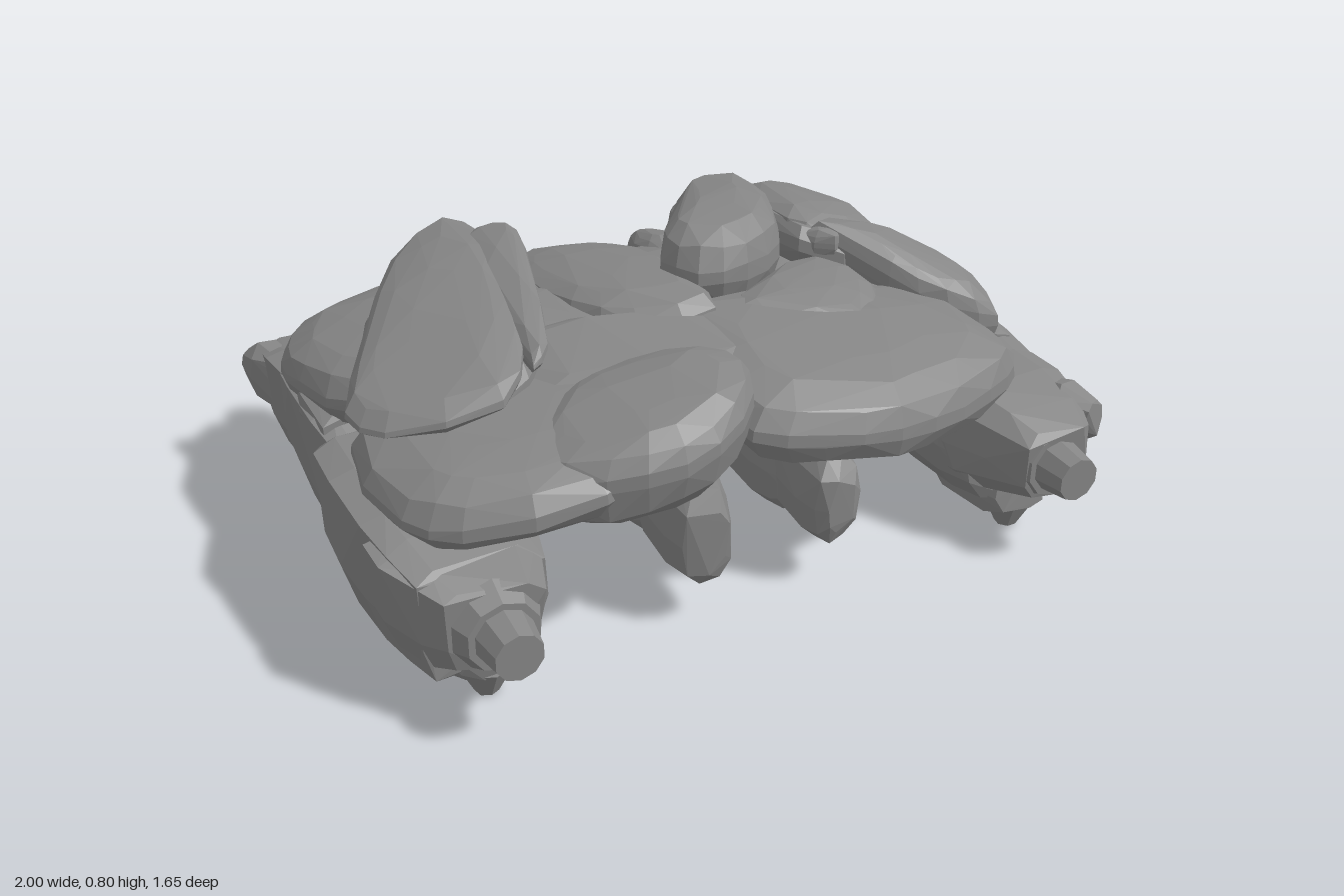
import * as THREE from 'three';
import { ConvexGeometry } from 'three/addons/geometries/ConvexGeometry.js';

const material = new THREE.MeshStandardMaterial({ color: 0x868686, flatShading: true });

// Small seeded generator for chipped, uneven stone
let seed = 7;
const jitter = (a) => {
  seed = (seed * 16807) % 2147483647;
  return (seed / 2147483647 - 0.5) * 2 * a;
};

function add(group, name, geometry) {
  const mesh = new THREE.Mesh(geometry, material);
  mesh.name = name;
  group.add(mesh);
  return mesh;
}

// Flat stone: plan outline [x, z], mid height y, slopes, thickness above and below
function slab(group, name, outline, y, bx, bz, up, down) {
  const n = outline.length;
  const cx = outline.reduce((s, p) => s + p[0], 0) / n;
  const cz = outline.reduce((s, p) => s + p[1], 0) / n;
  const curve = new THREE.CatmullRomCurve3(outline.map(([x, z]) => new THREE.Vector3(x, 0, z)), true, 'centripetal');
  const rings = [[0.68, -1], [0.92, -0.62], [1, -0.12], [0.99, 0.2], [0.9, 0.65], [0.68, 0.93], [0.35, 1.03]];
  const points = [];
  for (const [scale, level] of rings) {
    for (let i = 0; i < n * 2; i++) {
      const p = curve.getPoint(i / (n * 2));
      const s = scale + (scale < 0.97 ? jitter(0.03) : 0);
      const x = (p.x - cx) * s, z = (p.z - cz) * s;
      const h = level * (level > 0 ? up : down) + jitter(0.006);
      points.push(new THREE.Vector3(cx + x, y + bx * x + bz * z + h, cz + z));
    }
  }
  return add(group, name, new ConvexGeometry(points));
}

// Stone lofted along z: section is [x, y] in -1..1, stations are [z, cx, cy, half width, half height]
function loft(group, name, section, stations) {
  const points = [];
  for (const [z, cx, cy, w, h] of stations)
    for (const [x, y] of section)
      points.push(new THREE.Vector3(cx + x * w, cy + y * h, z + jitter(0.02)));
  return add(group, name, new ConvexGeometry(points));
}

// Boulder section with the outer side at -x
const LOG = [[-1, 0.9], [-0.97, -0.3], [-0.82, -0.88], [-0.1, -1], [0.6, -0.9], [0.9, -0.5], [1, 0], [0.96, 0.7], [0.6, 1], [-0.7, 1]];
const ROUND = [[1, 0.1], [0.88, 0.65], [0.4, 1], [-0.4, 0.97], [-0.9, 0.6], [-1, -0.1], [-0.85, -0.7], [-0.3, -1], [0.5, -0.97], [0.9, -0.6]];

// Outer rail on the -x side: a wide front boulder, a narrower back one, stubs and feet
function outerRail(name) {
  const rail = new THREE.Group();
  rail.name = name;
  loft(rail, 'wideBoulder', LOG, [
    [-0.03, -0.79, 0.275, 0.16, 0.15],
    [0.06, -0.785, 0.275, 0.205, 0.19],
    [0.22, -0.785, 0.275, 0.215, 0.2],
    [0.4, -0.785, 0.27, 0.205, 0.185],
    [0.52, -0.78, 0.265, 0.19, 0.17],
    [0.62, -0.78, 0.255, 0.16, 0.15]]);
  loft(rail, 'wideBoulderEnd', LOG, [
    [0.46, -0.81, 0.3, 0.19, 0.13],
    [0.54, -0.8, 0.29, 0.195, 0.13],
    [0.63, -0.785, 0.275, 0.16, 0.125],
    [0.7, -0.78, 0.27, 0.12, 0.105]]);
  loft(rail, 'narrowBoulder', LOG, [
    [0.04, -0.77, 0.275, 0.15, 0.14],
    [-0.07, -0.765, 0.275, 0.185, 0.19],
    [-0.3, -0.76, 0.27, 0.185, 0.185],
    [-0.5, -0.75, 0.26, 0.175, 0.165],
    [-0.6, -0.76, 0.25, 0.15, 0.15]]);
  loft(rail, 'narrowBoulderEnd', LOG, [
    [-0.42, -0.75, 0.28, 0.18, 0.16],
    [-0.54, -0.76, 0.28, 0.18, 0.15],
    [-0.64, -0.78, 0.275, 0.15, 0.125],
    [-0.73, -0.78, 0.27, 0.1, 0.1]]);
  loft(rail, 'shoulderStone', ROUND, [
    [-0.34, -0.88, 0.42, 0.04, 0.04],
    [-0.2, -0.87, 0.43, 0.08, 0.07],
    [-0.05, -0.88, 0.42, 0.06, 0.05]]);
  loft(rail, 'sideChip', ROUND, [
    [-0.5, -0.88, 0.31, 0.03, 0.09],
    [-0.62, -0.91, 0.33, 0.06, 0.09],
    [-0.68, -0.94, 0.34, 0.035, 0.05]]);
  for (const d of [1, -1]) {
    const ring = add(rail, 'stubCollar', new THREE.CylinderGeometry(0.09, 0.12, 0.06, 10));
    ring.position.set(-0.78, 0.27, 0.71 * d);
    ring.rotation.x = d * Math.PI / 2;
    const stub = add(rail, 'stub', new THREE.CylinderGeometry(0.06, 0.08, 0.13, 10));
    stub.position.set(-0.78, 0.27, 0.76 * d);
    stub.rotation.x = d * Math.PI / 2;
    // Keel running down into a blunt foot
    loft(rail, 'keel', ROUND, [
      [0.32 * d, -0.77, 0.11, 0.08, 0.04],
      [0.42 * d, -0.77, 0.09, 0.1, 0.055],
      [0.55 * d, -0.77, 0.085, 0.08, 0.05],
      [0.63 * d, -0.77, 0.12, 0.08, 0.04]]);
    const foot = add(rail, 'foot', new THREE.CylinderGeometry(0.07, 0.03, 0.08, 7));
    foot.position.set(-0.77, 0.05, 0.58 * d);
  }
  return rail;
}

// Inner rail: a row of narrow stones under the deck, each given as [centre z, half length, size]
function innerRail(name, x, stones) {
  const rail = new THREE.Group();
  rail.name = name;
  for (const [z, half, size] of stones) {
    loft(rail, 'railStone', ROUND, [
      [z - half, x, 0.28, 0.045 * size, 0.09 * size],
      [z - half * 0.65, x, 0.27, 0.08 * size, 0.145 * size],
      [z + half * 0.3, x, 0.27, 0.09 * size, 0.16 * size],
      [z + half * 0.75, x, 0.265, 0.075 * size, 0.14 * size],
      [z + half, x, 0.26, 0.045 * size, 0.09 * size]]);
  }
  return rail;
}

export function createModel() {
  seed = 7;
  const model = new THREE.Group();
  model.name = 'boulderPlatform';

  // The left outer rail is the right one turned half round
  const leftOuter = outerRail('leftOuterRail');
  leftOuter.rotation.y = Math.PI;
  model.add(outerRail('rightOuterRail'), leftOuter);
  model.add(innerRail('rightInnerRail', -0.185, [[0.47, 0.16, 0.95], [0.18, 0.2, 1], [-0.15, 0.22, 1]]));
  model.add(innerRail('leftInnerRail', 0.185, [[0.5, 0.13, 0.88], [0.24, 0.2, 1], [-0.08, 0.22, 0.97], [-0.34, 0.15, 0.9]]));

  const deck = new THREE.Group();
  deck.name = 'stoneDeck';
  model.add(deck);

  // Core and front slabs
  slab(deck, 'coreSlab', [[-0.75, -0.35], [-0.3, -0.36], [0.15, -0.38], [0.7, -0.42], [0.82, 0], [0.7, 0.4], [0, 0.5], [-0.7, 0.4], [-0.82, 0]], 0.52, 0, -0.03, 0.1, 0.1);
  slab(deck, 'frontLeftSlab', [[-0.08, 0.62], [0.08, 0.69], [0.28, 0.73], [0.5, 0.69], [0.7, 0.61], [0.79, 0.52], [0.79, 0.4], [0.65, 0.18], [0.3, 0.06], [-0.02, 0.1], [-0.1, 0.35]], 0.515, -0.07, -0.12, 0.1, 0.11);
  slab(deck, 'frontRightLowerSlab', [[-0.92, 0.15], [-0.92, 0.5], [-0.82, 0.62], [-0.5, 0.7], [-0.28, 0.58], [-0.25, 0.1], [-0.6, 0]], 0.51, 0.14, -0.04, 0.09, 0.075);
  slab(deck, 'frontRightPod', [[-0.64, 0.54], [-0.5, 0.69], [-0.32, 0.74], [-0.14, 0.68], [-0.03, 0.52], [-0.08, 0.39], [-0.26, 0.31], [-0.5, 0.34]], 0.58, 0.18, -0.03, 0.085, 0.145);
  slab(deck, 'middleSlab', [[-0.48, 0.05], [-0.1, 0.08], [0.1, 0.2], [0.1, 0.42], [-0.25, 0.5], [-0.52, 0.35]], 0.585, 0, -0.1, 0.065, 0.1);
  slab(deck, 'middleFillStone', [[-0.48, -0.2], [-0.3, -0.25], [-0.18, -0.1], [-0.18, 0.15], [-0.46, 0.18]], 0.57, 0, 0, 0.07, 0.1);

  // Tilted slab with layered lip
  slab(deck, 'tiltedSlab', [[-0.94, 0.2], [-0.89, 0.34], [-0.63, 0.43], [-0.5, 0.25], [-0.4, -0.1], [-0.38, -0.3], [-0.43, -0.46], [-0.62, -0.36], [-0.8, -0.05]], 0.69, 0.25, -0.04, 0.045, 0.06);
  slab(deck, 'tiltedSlabLip', [[-0.52, 0.35], [-0.46, 0.3], [-0.37, 0], [-0.31, -0.22], [-0.35, -0.3], [-0.43, -0.3], [-0.48, -0.1]], 0.745, 0.27, -0.06, 0.035, 0.055);
  slab(deck, 'tiltedSlabBase', [[-0.87, 0.22], [-0.62, 0.35], [-0.42, 0.2], [-0.33, -0.2], [-0.45, -0.42], [-0.75, -0.25]], 0.61, 0.2, 0, 0.08, 0.12);

  // Back stones
  slab(deck, 'backRightSlab', [[-0.94, -0.2], [-0.94, -0.38], [-0.85, -0.52], [-0.6, -0.55], [-0.44, -0.47], [-0.34, -0.34], [-0.38, 0], [-0.85, 0.08]], 0.52, 0.18, 0.12, 0.09, 0.1);
  slab(deck, 'backMiddleStone', [[-0.28, -0.3], [-0.24, -0.48], [-0.08, -0.48], [0.06, -0.38], [0.11, -0.1], [0.06, 0.2], [-0.15, 0.17], [-0.27, 0]], 0.59, 0.05, 0.12, 0.08, 0.12);
  slab(deck, 'backMiddleKnob', [[-0.27, -0.5], [-0.2, -0.59], [-0.09, -0.55], [-0.09, -0.4], [-0.22, -0.38]], 0.5, 0, 0.2, 0.06, 0.07);
  slab(deck, 'backNotchStone', [[0.13, -0.42], [0.2, -0.56], [0.25, -0.5], [0.28, -0.3], [0.15, -0.25]], 0.55, 0, 0.2, 0.06, 0.09);
  slab(deck, 'crownStone', [[0.01, -0.02], [0.06, 0.1], [0.2, 0.12], [0.36, 0.02], [0.47, -0.22], [0.5, -0.44], [0.38, -0.47], [0.22, -0.34], [0.1, -0.15]], 0.67, 0, 0.08, 0.13, 0.12);
  slab(deck, 'crownTail', [[0.26, -0.42], [0.32, -0.54], [0.4, -0.6], [0.5, -0.55], [0.58, -0.4], [0.4, -0.25]], 0.57, 0, 0.15, 0.1, 0.1);
  slab(deck, 'backLeftSlab', [[0.42, -0.4], [0.52, -0.55], [0.75, -0.56], [0.9, -0.46], [0.94, -0.25], [0.9, 0], [0.65, 0.12], [0.42, 0.02]], 0.55, -0.42, 0.1, 0.09, 0.11);
  slab(deck, 'backLeftRidge', [[0.42, -0.05], [0.47, -0.4], [0.66, -0.46], [0.78, -0.3], [0.74, -0.05], [0.5, 0.04]], 0.63, -0.28, 0.05, 0.09, 0.1);
  slab(deck, 'backLeftEdgeStone', [[0.66, -0.5], [0.78, -0.58], [0.88, -0.54], [0.94, -0.4], [0.8, -0.3]], 0.48, -0.3, 0.15, 0.06, 0.07);

  // Left flank stones
  slab(deck, 'leftLeaningStone', [[0.46, 0], [0.54, 0.08], [0.6, 0.2], [0.72, 0.32], [0.87, 0.35], [0.89, 0.22], [0.78, 0.06], [0.62, -0.02]], 0.6, -0.3, -0.25, 0.08, 0.12);
  slab(deck, 'leftLeaningTip', [[0.43, 0], [0.5, 0.08], [0.57, 0.03], [0.54, -0.03]], 0.69, 0, 0, 0.04, 0.06);
  slab(deck, 'centreLeftStone', [[0.1, 0.2], [0.28, 0.34], [0.42, 0.36], [0.55, 0.22], [0.48, 0.02], [0.25, 0.08]], 0.6, 0, -0.1, 0.06, 0.1);

  // Loose pebbles at the back left corner
  for (const [x, y, z, r] of [[0.62, 0.49, -0.61, 0.045], [0.69, 0.49, -0.63, 0.04], [0.73, 0.47, -0.58, 0.045], [0.66, 0.46, -0.56, 0.06]]) {
    add(deck, 'pebble', new THREE.IcosahedronGeometry(r, 0)).position.set(x, y, z);
  }
  return model;
}
